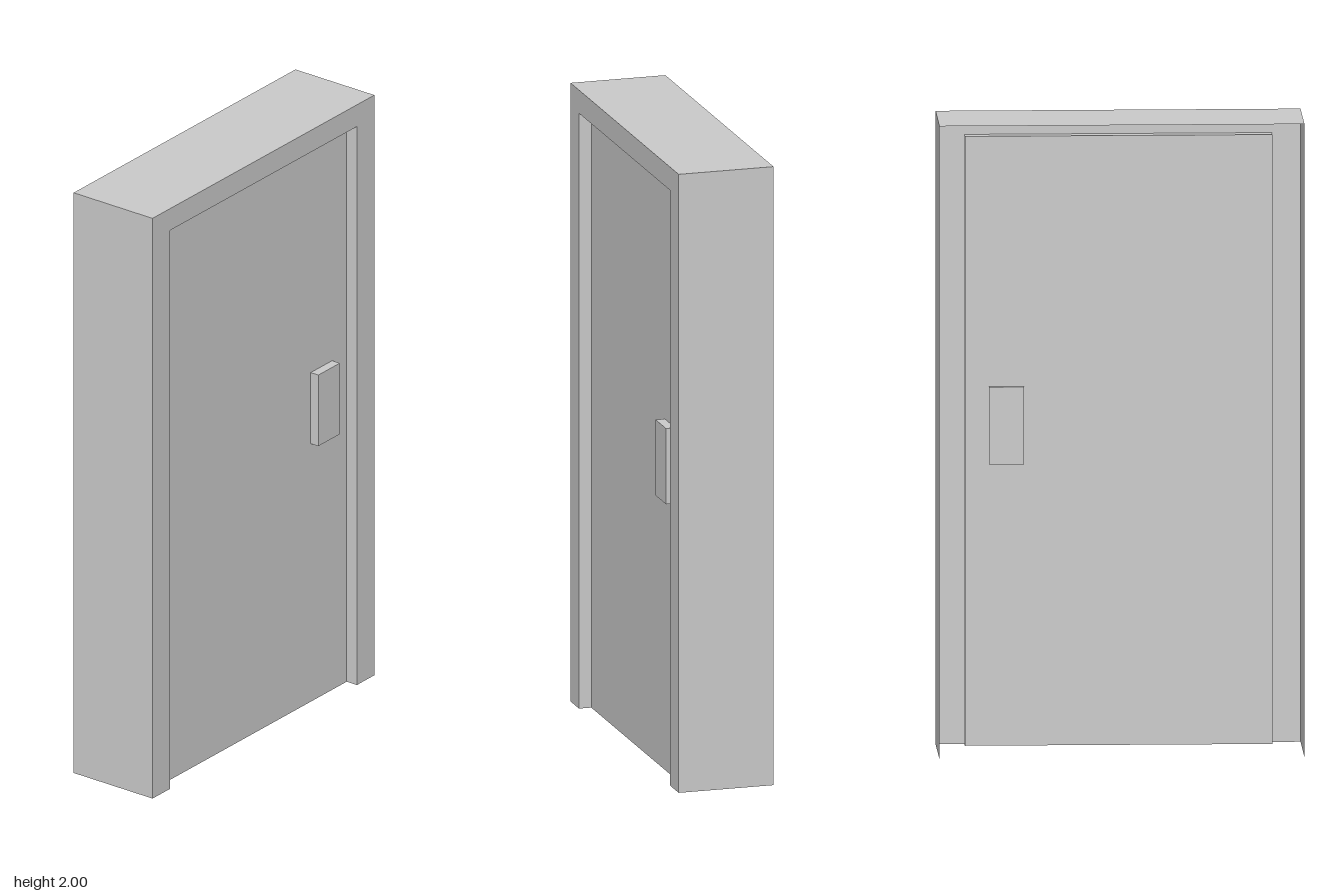
import * as THREE from 'three';

const W = 0.57, H = 2, D = 0.155;          // casing half width, height, half depth
const OW = 0.48, OH = 1.925;               // opening half width, height
const DOOR_Z = 0.115;                      // door leaf plane, set back in the opening

const material = new THREE.MeshStandardMaterial({ color: 0xcccccc, flatShading: true, side: THREE.DoubleSide });

function add(parent, name, geometry, x = 0, y = 0, z = 0) {
  const mesh = new THREE.Mesh(geometry, material);
  mesh.name = name;
  mesh.position.set(x, y, z);
  parent.add(mesh);
  return mesh;
}

// Two thin side sheets and a top sheet between depths z0 and z1
function surround(parent, prefix, halfWidth, height, z0, z1) {
  const depth = z1 - z0, z = (z0 + z1) / 2;
  for (const side of [-1, 1]) {
    const geometry = new THREE.PlaneGeometry(depth, height).rotateY(side * Math.PI / 2);
    add(parent, prefix + (side > 0 ? 'Left' : 'Right'), geometry, side * halfWidth, height / 2, z);
  }
  const top = new THREE.PlaneGeometry(2 * halfWidth, depth).rotateX(-Math.PI / 2);
  add(parent, prefix + 'Top', top, 0, height, z);
}

export function createModel() {
  const model = new THREE.Group();
  model.name = 'door';

  // Flat front of the frame, open at the bottom for the door
  const outline = [[-W, 0], [-OW, 0], [-OW, OH], [OW, OH], [OW, 0], [W, 0], [W, H], [-W, H]];
  const face = new THREE.Shape(outline.map(([x, y]) => new THREE.Vector2(x, y)));
  const frame = new THREE.Group();
  frame.name = 'frame';
  model.add(frame);
  add(frame, 'frameFront', new THREE.ShapeGeometry(face), 0, 0, D);

  // Outer casing, open at the back, and the shallow reveal around the door
  surround(frame, 'casing', W, H, -D, D);
  surround(frame, 'reveal', OW, OH, DOOR_Z, D);

  // Door leaf with its handle block passing through
  add(model, 'doorLeaf', new THREE.PlaneGeometry(2 * OW, OH), 0, OH / 2, DOOR_Z);
  add(model, 'handlePlate', new THREE.BoxGeometry(0.11, 0.245, 0.042), 0.35, 1.012, 0.124);

  return model;
}
